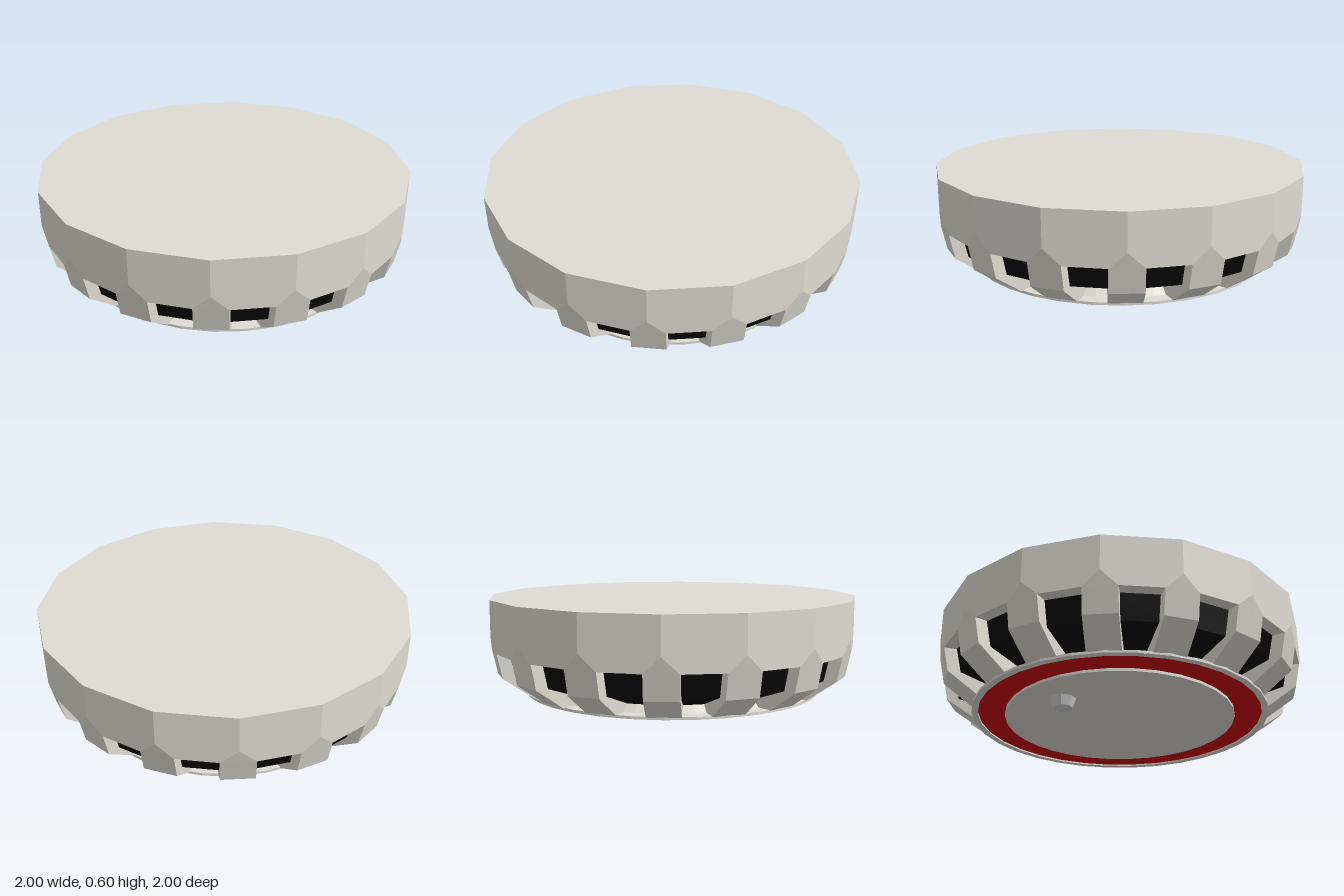
import * as THREE from 'three';

const SIDES = 16, STEP = (Math.PI * 2) / SIDES, HALF_FIN = 0.085;

const shell = new THREE.MeshStandardMaterial({ color: 0xdedbd3, flatShading: true });
const dark = new THREE.MeshStandardMaterial({ color: 0x080808, flatShading: true });
const red = new THREE.MeshStandardMaterial({ color: 0xcc0810, flatShading: true });
const lamp = new THREE.MeshStandardMaterial({ color: 0xcccccc, flatShading: true });

// Profile points [radius, height], listed with the outside on the right
function lathe(name, points, segments, material) {
  const geometry = new THREE.LatheGeometry(points.map(([r, y]) => new THREE.Vector2(r, y)), segments);
  const mesh = new THREE.Mesh(geometry, material);
  mesh.name = name;
  return mesh;
}

// Sixteen-sided cover whose corners are trimmed to meet the fins
function coverGeometry() {
  const top = 0.6, trim = 0.41, rim = 0.33, inner = 0.88;
  const positions = [];
  const at = (i, r, y, side = 0) => {
    const a = i * STEP;
    return [r * Math.sin(a) + side * Math.cos(a), y, r * Math.cos(a) - side * Math.sin(a)];
  };
  const fan = (...p) => {
    for (let k = 1; k < p.length - 1; k++) positions.push(...p[0], ...p[k], ...p[k + 1]);
  };
  const cut = 1 - HALF_FIN * Math.tan(STEP / 2);
  for (let i = 0; i < SIDES; i++) {
    const j = i + 1;
    const left = at(i, cut, rim, HALF_FIN), right = at(j, cut, rim, -HALF_FIN);
    // wall panel, corner facet, top wedge and underside rim
    fan(at(i, 1, top), at(i, 1, trim), left, right, at(j, 1, trim), at(j, 1, top));
    fan(at(i, 1, trim), at(i, cut, rim, -HALF_FIN), left);
    fan([0, top, 0], at(i, 1, top), at(j, 1, top));
    fan(left, at(i, inner, rim), at(j, inner, rim), right);
    fan(left, at(i, cut, rim, -HALF_FIN), at(i, inner, rim));
  }
  const geometry = new THREE.BufferGeometry();
  geometry.setAttribute('position', new THREE.Float32BufferAttribute(positions, 3));
  geometry.computeVertexNormals();
  return geometry;
}

// One fin: bent side profile extruded to a constant width
function finGeometry() {
  const profile = [[0.7, 0.09], [0.8, 0.09], [0.955, 0.2], [0.983, 0.33], [0.7, 0.33]];
  const shape = new THREE.Shape(profile.map(([x, y]) => new THREE.Vector2(x, y)));
  const geometry = new THREE.ExtrudeGeometry(shape, { depth: HALF_FIN * 2, bevelEnabled: false });
  return geometry.translate(0, 0, -HALF_FIN);
}

export function createModel() {
  const model = new THREE.Group();
  model.name = 'ceilingAlarm';

  const cover = new THREE.Mesh(coverGeometry(), shell);
  cover.name = 'cover';
  model.add(cover);

  const fins = new THREE.Group();
  fins.name = 'ventFins';
  const finShape = finGeometry();
  for (let i = 0; i < SIDES; i++) {
    const fin = new THREE.Mesh(finShape, shell);
    fin.name = 'fin';
    fin.rotation.y = i * STEP;
    fins.add(fin);
  }
  model.add(fins);

  // Dark core seen between the fins, and the pale lip below it
  model.add(lathe('ventCore', [[0.7, 0.127], [0.905, 0.2], [0.935, 0.332]], SIDES, dark));
  model.add(lathe('ventLip', [[0.74, 0.09], [0.7, 0.13]], SIDES * 2, shell));

  // Base rim, recessed red ring and raised centre disc
  model.add(lathe('baseRim', [[0.77, 0.09], [0.77, 0.08], [0.805, 0.08], [0.805, 0.094], [0.7, 0.094]], 32, shell));
  model.add(lathe('indicatorRing', [[0.6, 0.088], [0.775, 0.088]], 32, red));
  model.add(lathe('centreDisc', [[0, 0.073], [0.625, 0.073], [0.625, 0.09]], 32, shell));

  // Small indicator lamp
  const light = lathe('indicatorLamp', [[0, 0], [0.022, 0.006], [0.052, 0.022], [0.07, 0.078]], 8, lamp);
  light.position.set(-0.41, 0, 0.035);
  model.add(light);

  return model;
}
